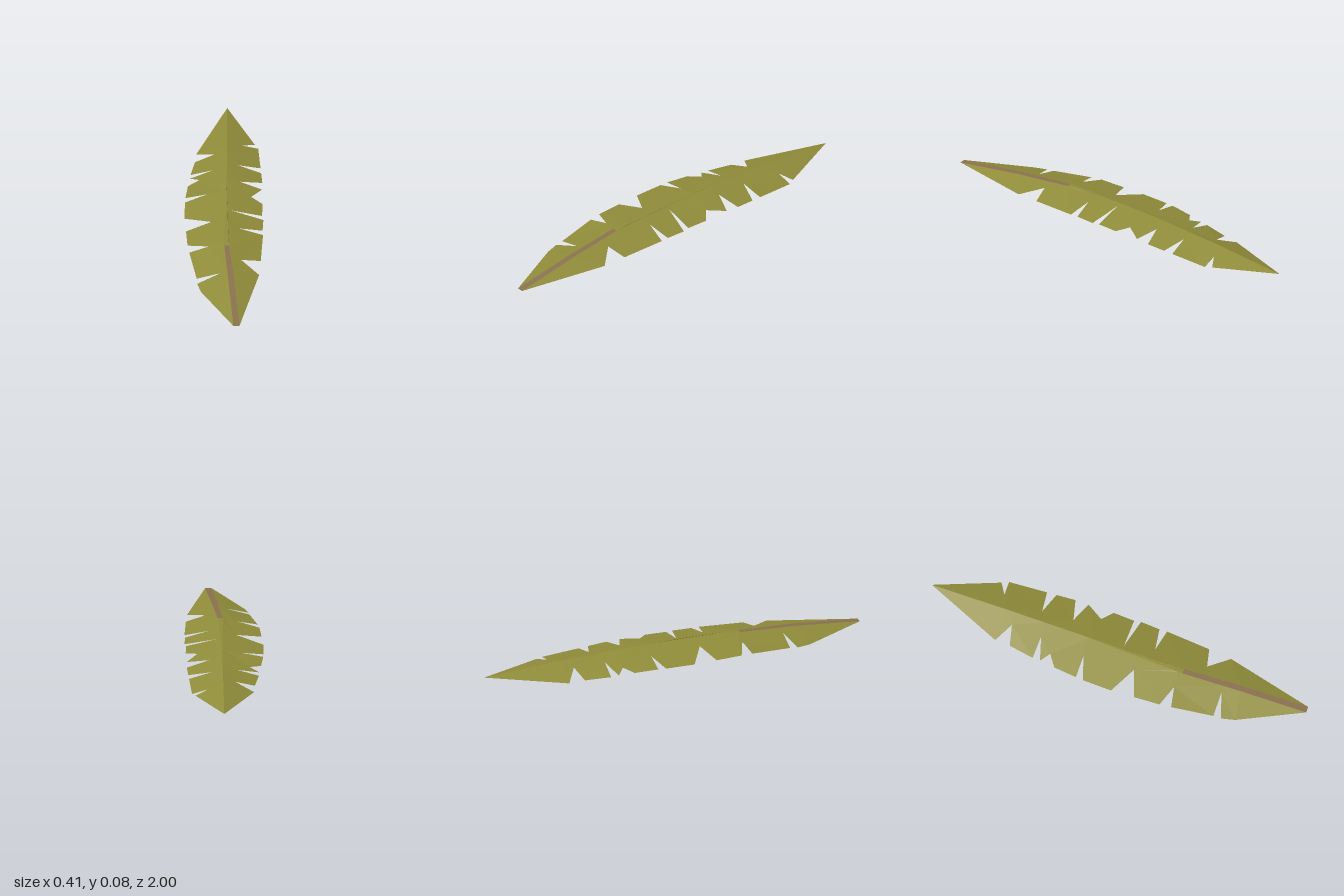
import * as THREE from 'three';

// Spine rows: z, left blade root x, right blade root x, height, left droop, right droop
const SPINE = [
  [-1, 0.07, 0.07, 0.022, 0.4, 0.28],
  [-0.6, 0.045, 0.045, 0.055, 0.34, 0.28],
  [-0.2, 0.02, 0.02, 0.075, 0.2, 0.22],
  [0.3, -0.022, 0.0, 0.075, 0.21, 0.24],
  [0.35, -0.024, 0.001, 0.0715, 0.22, 0.245],
  [0.65, -0.02, 0.009, 0.05, 0.3, 0.27],
  [1, -0.016, 0.015, 0.009, 0.3, 0.27],
];

// Torn lobes from tip to stalk: each runs notch, outer corners, notch as [x, z]
const LEFT = [
  [[0.07, -1], [-0.11, -0.61], [-0.02, -0.55]],
  [[-0.02, -0.55], [-0.12, -0.53], [-0.15, -0.4], [-0.04, -0.39]],
  [[-0.04, -0.39], [-0.155, -0.36], [-0.11, -0.32]],
  [[-0.11, -0.32], [-0.17, -0.28], [-0.19, -0.16], [-0.08, -0.155]],
  [[-0.08, -0.155], [-0.195, -0.12], [-0.205, 0.03], [-0.075, 0.11]],
  [[-0.075, 0.11], [-0.205, 0.15], [-0.205, 0.285], [-0.1, 0.33]],
  [[-0.1, 0.33], [-0.2, 0.345], [-0.175, 0.56], [-0.055, 0.565]],
  [[-0.055, 0.565], [-0.175, 0.6], [-0.16, 0.67], [-0.016, 1]],
];
const RIGHT = [
  [[0.07, -1], [0.19, -0.67], [0.125, -0.635]],
  [[0.125, -0.635], [0.205, -0.635], [0.205, -0.435], [0.09, -0.425]],
  [[0.09, -0.425], [0.205, -0.385], [0.205, -0.285], [0.09, -0.26]],
  [[0.09, -0.26], [0.2, -0.215], [0.14, -0.13]],
  [[0.14, -0.13], [0.195, -0.08], [0.185, 0.03], [0.03, 0.025]],
  [[0.03, 0.025], [0.19, 0.065], [0.18, 0.165], [0.06, 0.18]],
  [[0.06, 0.18], [0.18, 0.205], [0.155, 0.435], [0.055, 0.455]],
  [[0.055, 0.455], [0.14, 0.555], [0.015, 1]],
];

function spineAt(z) {
  let i = 0;
  while (i < SPINE.length - 2 && z > SPINE[i + 1][0]) i++;
  const a = SPINE[i], b = SPINE[i + 1];
  const t = (z - a[0]) / (b[0] - a[0]);
  return a.map((v, k) => v + (b[k] - v) * t);
}

// One lobe, cut flat and then draped down from the spine
function lobeGeometry(points, side) {
  const z0 = points[0][1], z1 = points[points.length - 1][1];
  const inner = [z1, ...SPINE.map(r => r[0]).filter(z => z > z0 && z < z1).reverse(), z0]
    .map(z => [spineAt(z)[side], z]);
  const outline = [...points, ...inner].filter((p, i, all) => {
    const q = all[(i + 1) % all.length];
    return Math.hypot(p[0] - q[0], p[1] - q[1]) > 0.0005;
  });
  const geo = new THREE.ShapeGeometry(
    new THREE.Shape(outline.map(([x, z]) => new THREE.Vector2(x, -z))));
  const pos = geo.attributes.position;
  for (let i = 0; i < pos.count; i++) {
    const x = pos.getX(i), z = -pos.getY(i), s = spineAt(z);
    pos.setXYZ(i, x, s[3] - s[side + 3] * Math.abs(x - s[side]), z);
  }
  geo.computeVertexNormals();
  return geo;
}

// Strip through pairs of left and right points, facing up
function stripGeometry(pairs) {
  const geo = new THREE.BufferGeometry();
  const index = [];
  for (let i = 0; i < pairs.length - 1; i++) {
    const a = i * 2;
    index.push(a, a + 2, a + 1, a + 1, a + 2, a + 3);
  }
  geo.setAttribute('position', new THREE.Float32BufferAttribute(pairs.flat(2), 3));
  geo.setIndex(index);
  geo.computeVertexNormals();
  return geo;
}

function spineStrip(from, to) {
  return stripGeometry(SPINE.filter(r => r[0] >= from && r[0] <= to)
    .map(([z, l, r, y]) => [[l, y, z], [r, y, z]]));
}

export function createModel() {
  const leafGreen = new THREE.MeshStandardMaterial({ color: 0x908c3a });
  const stalkBrown = new THREE.MeshStandardMaterial({ color: 0x8a7150 });
  leafGreen.name = 'leafGreen';
  stalkBrown.name = 'stalkBrown';
  for (const m of [leafGreen, stalkBrown]) {
    m.side = THREE.DoubleSide;
    m.flatShading = true;
  }

  const leaf = new THREE.Group();
  leaf.name = 'leaf';
  const add = (name, geo, mat, parent = leaf) => {
    const mesh = new THREE.Mesh(geo, mat);
    mesh.name = name;
    parent.add(mesh);
  };

  // Two torn halves of the blade
  [['rightBlade', LEFT, 1], ['leftBlade', RIGHT, 2]].forEach(([name, lobes, side]) => {
    const blade = new THREE.Group();
    blade.name = name;
    leaf.add(blade);
    lobes.forEach((p, i) => add(`${name}Lobe${i + 1}`, lobeGeometry(p, side), leafGreen, blade));
  });

  // Midrib: brown near the stalk, green where it narrows
  add('stalkRib', spineStrip(0.35, 1), stalkBrown);
  add('upperRib', spineStrip(-0.2, 0.35), leafGreen);

  // Small steep fold beside the upper rib
  add('ribFold', stripGeometry([-0.17, 0.07, 0.3].map((z, i) => {
    const [, , x, y] = spineAt(z), w = i === 1 ? 1 : 0;
    return [[x, y + 0.002 * w, z], [x + 0.008 * w, y - 0.012 * w, z]];
  })), leafGreen);

  return leaf;
}
